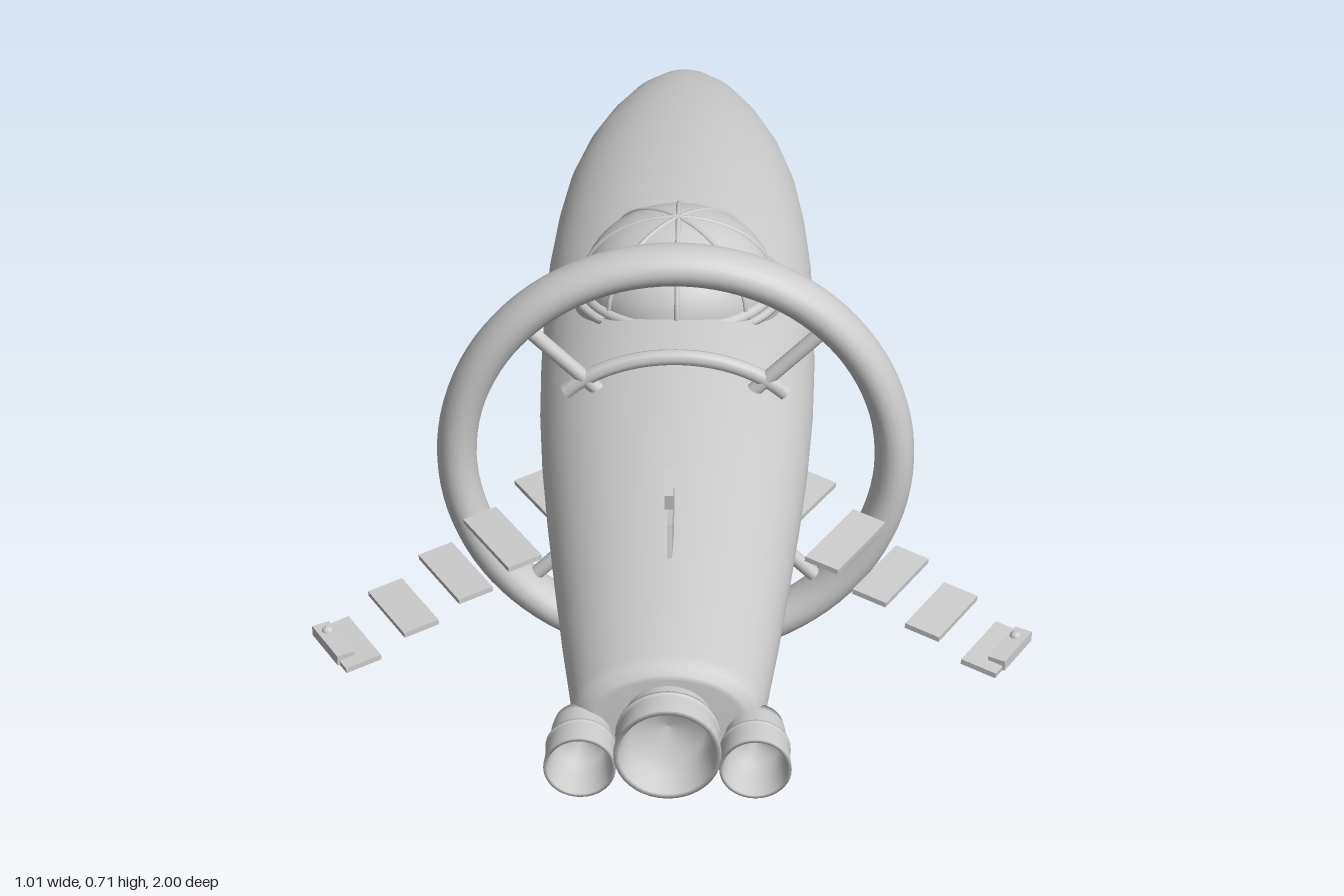
import * as THREE from 'three';

const grey = new THREE.MeshStandardMaterial({ color: 0xcccccc, side: THREE.DoubleSide });
grey.name = 'hull grey';
const V = (x, y, z) => new THREE.Vector3(x, y, z);

function add(parent, name, geo, x = 0, y = 0, z = 0) {
  const m = new THREE.Mesh(geo, grey);
  m.name = name;
  m.position.set(x, y, z);
  parent.add(m);
  return m;
}

// Straight rod between two points
function rod(parent, name, a, b, r) {
  const m = add(parent, name, new THREE.CylinderGeometry(r, r, a.distanceTo(b), 16));
  m.position.copy(a).add(b).multiplyScalar(0.5);
  m.quaternion.setFromUnitVectors(V(0, 1, 0), b.clone().sub(a).normalize());
  return m;
}

// Tube along an elliptical arc; point(t) gives the path for t in 0..1
function arcTube(parent, name, point, r, n = 16) {
  const pts = [];
  for (let i = 0; i <= n; i++) pts.push(point(i / n));
  return add(parent, name, new THREE.TubeGeometry(new THREE.CatmullRomCurve3(pts), n * 2, r, 8));
}

// Skin of elliptical sections: [z, halfWidth, bottom, top]
function hullGeometry(sections, seg = 64) {
  const pos = [], idx = [];
  for (const [z, w, lo, hi] of sections)
    for (let j = 0; j < seg; j++) {
      const a = (j / seg) * Math.PI * 2;
      pos.push(w * Math.cos(a), (lo + hi) / 2 + (hi - lo) / 2 * Math.sin(a), z);
    }
  for (let i = 0; i < sections.length - 1; i++)
    for (let j = 0; j < seg; j++) {
      const k = (j + 1) % seg, a = i * seg + j, b = a + seg, c = i * seg + k, d = c + seg;
      idx.push(a, b, c, b, d, c);
    }
  const g = new THREE.BufferGeometry();
  g.setAttribute('position', new THREE.Float32BufferAttribute(pos, 3));
  g.setIndex(idx);
  g.computeVertexNormals();
  return g;
}

// Hollow thruster bell opening towards +z
function nozzle(parent, name, x, y, r) {
  const profile = [[0, -0.015], [0.8, -0.015], [0.86, 0], [0.9, 0.03], [0.9, 0.032], [1, 0.034], [1, 0.038],
    [0.95, 0.04], [1.02, 0.08], [0.92, 0.08], [0.84, 0.045], [0.7, 0.025], [0, 0.015]]
    .map(([k, h]) => new THREE.Vector2(k * r, h));
  add(parent, name, new THREE.LatheGeometry(profile, 40), x, y, 0.92).rotation.x = Math.PI / 2;
}

export function createModel() {
  const g = new THREE.Group();
  g.name = 'airship';

  // Hull
  add(g, 'hull', hullGeometry([
    [0.93, 0, 0.36, 0.36], [0.93, 0.1, 0.295, 0.43], [0.928, 0.108, 0.288, 0.437], [0.918, 0.122, 0.279, 0.447],
    [0.9, 0.13, 0.275, 0.451], [0.75, 0.149, 0.26, 0.465], [0.6, 0.166, 0.248, 0.478], [0.45, 0.182, 0.236, 0.489],
    [0.3, 0.196, 0.226, 0.499], [0.15, 0.206, 0.219, 0.505], [0, 0.211, 0.215, 0.508], [-0.15, 0.213, 0.214, 0.509],
    [-0.3, 0.211, 0.214, 0.507], [-0.45, 0.203, 0.218, 0.5], [-0.58, 0.19, 0.226, 0.49], [-0.7, 0.167, 0.239, 0.475],
    [-0.8, 0.137, 0.258, 0.456], [-0.88, 0.103, 0.282, 0.436], [-0.94, 0.066, 0.312, 0.412],
    [-0.97, 0.037, 0.338, 0.394], [-0.982, 0.018, 0.354, 0.382], [-0.986, 0, 0.368, 0.368]]));
  add(g, 'noseTip', new THREE.SphereGeometry(0.01, 16, 12), 0, 0.37, -0.99);

  // Thrusters
  nozzle(g, 'mainThruster', 0, 0.36, 0.07);
  for (const s of [-1, 1]) {
    nozzle(g, 'sideThruster', s * 0.116, 0.338, 0.047);
    rod(g, 'thrusterMount', V(s * 0.09, 0.345, 0.86), V(s * 0.112, 0.338, 0.935), 0.03);
  }

  // Ring around the hull
  const ringZ = 0.252, ringY = 0.357;
  add(g, 'ring', new THREE.TorusGeometry(0.3255, 0.0295, 24, 96), 0, ringY, ringZ).scale.z = 1.32;

  // Spokes, bolts and hull saddles
  for (const sy of [-1, 1]) {
    for (const sx of [-1, 1]) {
      rod(g, 'spoke', V(sx * 0.1, ringY + sy * 0.1, ringZ), V(sx * 0.222, ringY + sy * 0.222, ringZ), 0.011);
      add(g, 'ringBolt', new THREE.SphereGeometry(0.007, 12, 8), sx * 0.235, ringY + sy * 0.235, 0.214);
    }
    arcTube(g, 'saddle', t => {
      const a = Math.PI * (0.22 + 0.56 * t);
      return V(0.21 * Math.cos(a), 0.362 + sy * 0.165 * Math.sin(a), ringZ);
    }, 0.012);
  }

  // Canopy dome with ribs, rim and side skirts
  const domeZ = -0.04, domeY = 0.49;
  add(g, 'dome', new THREE.SphereGeometry(0.147, 48, 16, 0, Math.PI * 2, 0, Math.PI / 2), 0, domeY, domeZ)
    .scale.y = 0.113 / 0.147;
  for (let i = 0; i < 4; i++) {
    const a = i * Math.PI / 4;
    arcTube(g, 'domeRib', t => {
      const r = 0.147 * Math.cos(Math.PI * t);
      return V(r * Math.cos(a), domeY + 0.112 * Math.sin(Math.PI * t), domeZ + r * Math.sin(a));
    }, 0.004);
  }
  add(g, 'domeRim', new THREE.TorusGeometry(0.146, 0.009, 12, 64), 0, domeY, domeZ).rotation.x = Math.PI / 2;
  add(g, 'domeBase', new THREE.CylinderGeometry(0.146, 0.146, 0.07, 48), 0, 0.455, domeZ);
  for (const s of [-1, 1]) {
    add(g, 'domeSkirt', new THREE.CylinderGeometry(0.164, 0.16, 0.03, 24, 1, true,
      s * Math.PI / 2 - 0.8, 1.6), 0, 0.471, domeZ);
    arcTube(g, 'skirtEdge', t => {
      const a = (t - 0.5) * 1.6;
      return V(s * 0.16 * Math.cos(a), 0.484, domeZ + 0.16 * Math.sin(a));
    }, 0.007);
  }

  // Slatted side fins: [x, z, length]
  const slats = [[0.178, 0.335, 0.15], [0.249, 0.43, 0.146], [0.312, 0.51, 0.132], [0.381, 0.59, 0.12], [0.453, 0.672, 0.108]];
  for (const s of [-1, 1]) {
    const fin = new THREE.Group();
    fin.name = 'sideFin';
    g.add(fin);
    slats.forEach(([x, z, len]) => {
      const m = add(fin, 'finSlat', new THREE.BoxGeometry(0.054, 0.008, len), s * x, 0.347 - x * 0.095, z);
      m.rotation.set(0, -s * 0.52, -s * 0.1, 'YXZ');
    });
    const pod = add(fin, 'finTipPod', new THREE.BoxGeometry(0.026, 0.015, 0.085), s * 0.473, 0.306, 0.672);
    pod.rotation.y = -s * 0.52;
    add(fin, 'finTipLamp', new THREE.SphereGeometry(0.009, 12, 8), s * 0.482, 0.312, 0.652);
  }

  // Slatted top fin and its tip
  for (let i = 0; i < 6; i++) {
    const t = i / 5;
    add(g, 'topFinSlat', new THREE.BoxGeometry(0.007, 0.056 - 0.008 * t, 0.052), 0, 0.508 + 0.059 * t, 0.642 + 0.145 * t)
      .rotation.x = -0.2;
  }
  add(g, 'topFinTip', new THREE.BoxGeometry(0.012, 0.024, 0.052), 0, 0.66, 0.822).rotation.x = 0.15;

  // Row of pods under the belly
  const podProfile = [[0, -0.047], [0.017, -0.046], [0.024, -0.038], [0.026, -0.02], [0.026, -0.003], [0.023, 0],
    [0.026, 0.003], [0.026, 0.02], [0.024, 0.038], [0.017, 0.046], [0, 0.047]].map(p => new THREE.Vector2(...p));
  for (let i = 0; i < 6; i++) {
    const z = -0.39 + i * 0.131;
    add(g, 'bellyPod', new THREE.LatheGeometry(podProfile, 24), 0, 0.191, z).rotation.x = Math.PI / 2;
    add(g, 'podMount', new THREE.BoxGeometry(0.028, 0.025, 0.04), 0, 0.217, z);
  }
  return g;
}
